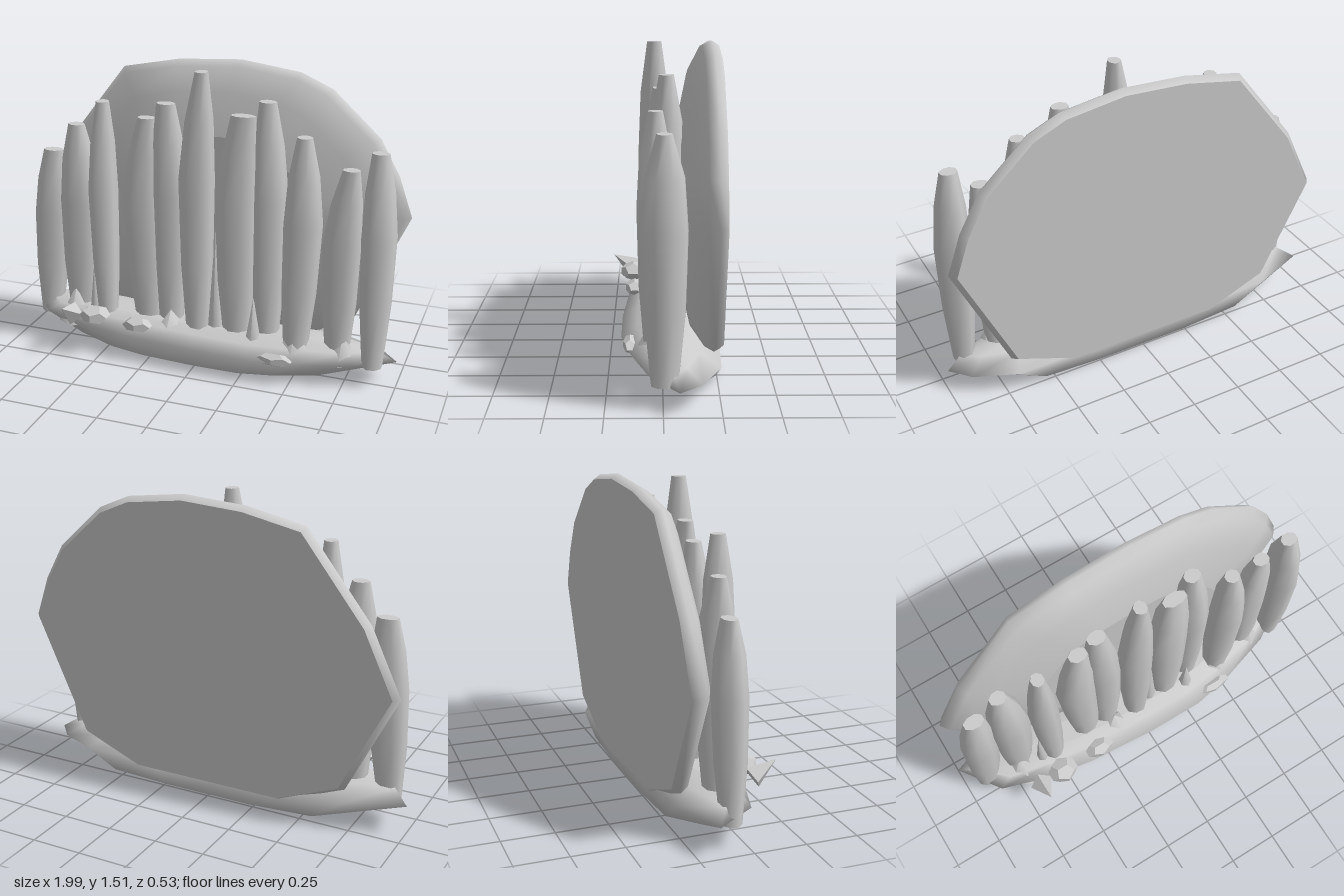
import * as THREE from 'three';

// Skin a stack of rings (arrays of [x, y, z]) and close both ends with separate cap vertices
function loft(rings) {
  const n = rings[0].length, pos = [], idx = [];
  rings.forEach(r => r.forEach(p => pos.push(...p)));
  for (let k = 0; k < rings.length - 1; k++) {
    for (let i = 0; i < n; i++) {
      const a = k * n + i, b = k * n + (i + 1) % n;
      idx.push(a, a + n, b, b, a + n, b + n);
    }
  }
  [rings[0], rings[rings.length - 1]].forEach((r, end) => {
    const start = pos.length / 3;
    r.forEach(p => pos.push(...p));
    pos.push(...[0, 1, 2].map(j => r.reduce((s, p) => s + p[j], 0) / n));
    for (let i = 0; i < n; i++) {
      const a = start + i, b = start + (i + 1) % n;
      if (end) idx.push(start + n, b, a); else idx.push(start + n, a, b);
    }
  });
  const g = new THREE.BufferGeometry();
  g.setAttribute('position', new THREE.Float32BufferAttribute(pos, 3));
  g.setIndex(idx);
  g.computeVertexNormals();
  return g;
}

// Spindle-shaped column: narrow foot, broad belly, blunt tip
function column(footX, bellyX, tipX, width, tipWidth, top, z, depth) {
  const foot = 0.1, sides = 8;
  const levels = [ // height share, centre x, width, depth
    [0, footX, width * 0.6, depth * 0.6],
    [0.3, (footX + bellyX) / 2, width * 0.9, depth * 0.9],
    [0.62, bellyX, width, depth],
    [0.83, (bellyX + tipX) / 2, (width * 1.3 + tipWidth * 0.7) / 2, depth * 0.85],
    [1, tipX, tipWidth, 0.035],
  ];
  return loft(levels.map(([t, x, w, d]) => Array.from({ length: sides }, (_, i) => {
    const a = (i + 0.5) / sides * Math.PI * 2;
    return [x + Math.cos(a) * w * 0.53, foot + t * (top - foot),
      z + Math.sin(a) * d * (1 + 0.06 * Math.sin(i * 2.4 + footX * 9))];
  })));
}

export function createModel() {
  const group = new THREE.Group();
  const mat = new THREE.MeshStandardMaterial({ color: 0xcccccc });
  const add = (name, geo, m = mat) => {
    const mesh = new THREE.Mesh(geo, m);
    mesh.name = name;
    group.add(mesh);
    return mesh;
  };

  // Rounded rock wall with a flat back
  const outline = [[-0.72, 0.2], [-0.97, 0.7], [-0.82, 1.02], [-0.5, 1.43], [-0.2, 1.49], [0.12, 1.51],
    [0.42, 1.47], [0.58, 1.4], [0.82, 1.18], [0.92, 1], [0.99, 0.8], [0.72, 0.2], [0.4, 0.07], [-0.4, 0.07]];
  const wallRing = ([z, s]) => outline.map(([x, y]) => [x * s, 0.72 + (y - 0.72) * s, z]);
  add('backWall', loft([[-0.27, 0.97], [-0.235, 1], [-0.19, 0.965], [-0.13, 0.82], [-0.085, 0.55]].map(wallRing)));

  // Shallow boat-shaped base, pointed at both ends; rim given as [x, z]
  const rim = [[0.99, -0.07], [0.8, 0.06], [0.52, 0.15], [0.3, 0.195], [0, 0.195], [-0.36, 0.17], [-0.6, 0.13],
    [-0.85, 0.05], [-1, -0.16], [-0.72, -0.26], [-0.3, -0.27], [0.3, -0.27], [0.7, -0.26], [0.9, -0.17]];
  const edge = rim.map(([x, z]) => [x, 0.125 - 0.02 * x, z]);
  const under = rim.map(([x, z]) => {
    const u = x * 0.78;
    return [u, 0.012 + 0.07 * u ** 4 * (u < 0 ? 2 : 1), z * (z > 0 ? 0.72 : 0.95)];
  });
  const keel = under.map(([x, , z]) => [x * 0.5, 0, z * 0.6]);
  const upper = edge.map(([x, y, z]) => [x * 0.92, y + 0.05, z * 0.62]);
  const crown = edge.map(([x, , z]) => [x * 0.6, 0.2, z * 0.3]);
  add('base', loft([keel, under, edge, upper, crown]));

  // Row of columns: foot x, belly x, tip x, width, tip width, top, z, depth
  [
    [-0.88, -0.85, -0.83, 0.18, 0.1, 1.01, -0.06, 0.08],
    [-0.69, -0.68, -0.69, 0.2, 0.08, 1.16, -0.05, 0.09],
    [-0.51, -0.52, -0.51, 0.14, 0.06, 1.31, 0.02, 0.08],
    [-0.29, -0.32, -0.29, 0.2, 0.09, 1.24, -0.01, 0.08],
    [-0.17, -0.17, -0.19, 0.18, 0.09, 1.32, -0.01, 0.08],
    [-0.01, -0.015, 0.01, 0.17, 0.06, 1.5, 0.035, 0.08],
    [0.19, 0.18, 0.21, 0.2, 0.12, 1.3, 0.01, 0.09],
    [0.34, 0.34, 0.32, 0.17, 0.08, 1.37, -0.02, 0.09],
    [0.5, 0.52, 0.515, 0.18, 0.07, 1.23, 0.03, 0.09],
    [0.7, 0.7, 0.73, 0.18, 0.08, 1.08, -0.02, 0.08],
    [0.88, 0.88, 0.865, 0.16, 0.08, 1.18, -0.005, 0.105],
  ].forEach((c, i) => add(`column${i + 1}`, column(...c)));

  // Thin stalagmites and low mounds between the columns: x, z, top, radius
  [[0.08, 0.02, 0.76, 0.045], [0.29, 0.06, 0.4, 0.05], [-0.58, 0.02, 0.5, 0.04], [-0.7, 0, 0.3, 0.1],
    [0.5, 0.03, 0.3, 0.11], [0.73, 0, 0.27, 0.08], [-0.15, 0.05, 0.26, 0.12]]
    .forEach(([x, z, top, r], i) => {
      const g = new THREE.ConeGeometry(r, top - 0.1, 6);
      g.translate(x, (top + 0.1) / 2, z);
      add(`stalagmite${i + 1}`, g);
    });

  // Loose rocks along the front: position, then radii
  const rockMat = new THREE.MeshStandardMaterial({ color: 0xcccccc, flatShading: true });
  [[-0.53, 0.215, 0.15, 0.08, 0.05, 0.07], [-0.3, 0.19, 0.14, 0.08, 0.04, 0.05],
    [0.42, 0.125, 0.15, 0.1, 0.035, 0.035]]
    .forEach(([x, y, z, rx, ry, rz], i) => {
      const rock = add(`rock${i + 1}`, new THREE.DodecahedronGeometry(1, 0), rockMat);
      rock.position.set(x, y, z);
      rock.scale.set(rx, ry, rz);
    });
  const shard = add('frontShard', new THREE.ConeGeometry(0.06, 0.14, 4), rockMat);
  shard.position.set(-0.66, 0.235, 0.2);
  shard.rotation.x = 1;

  return group;
}
